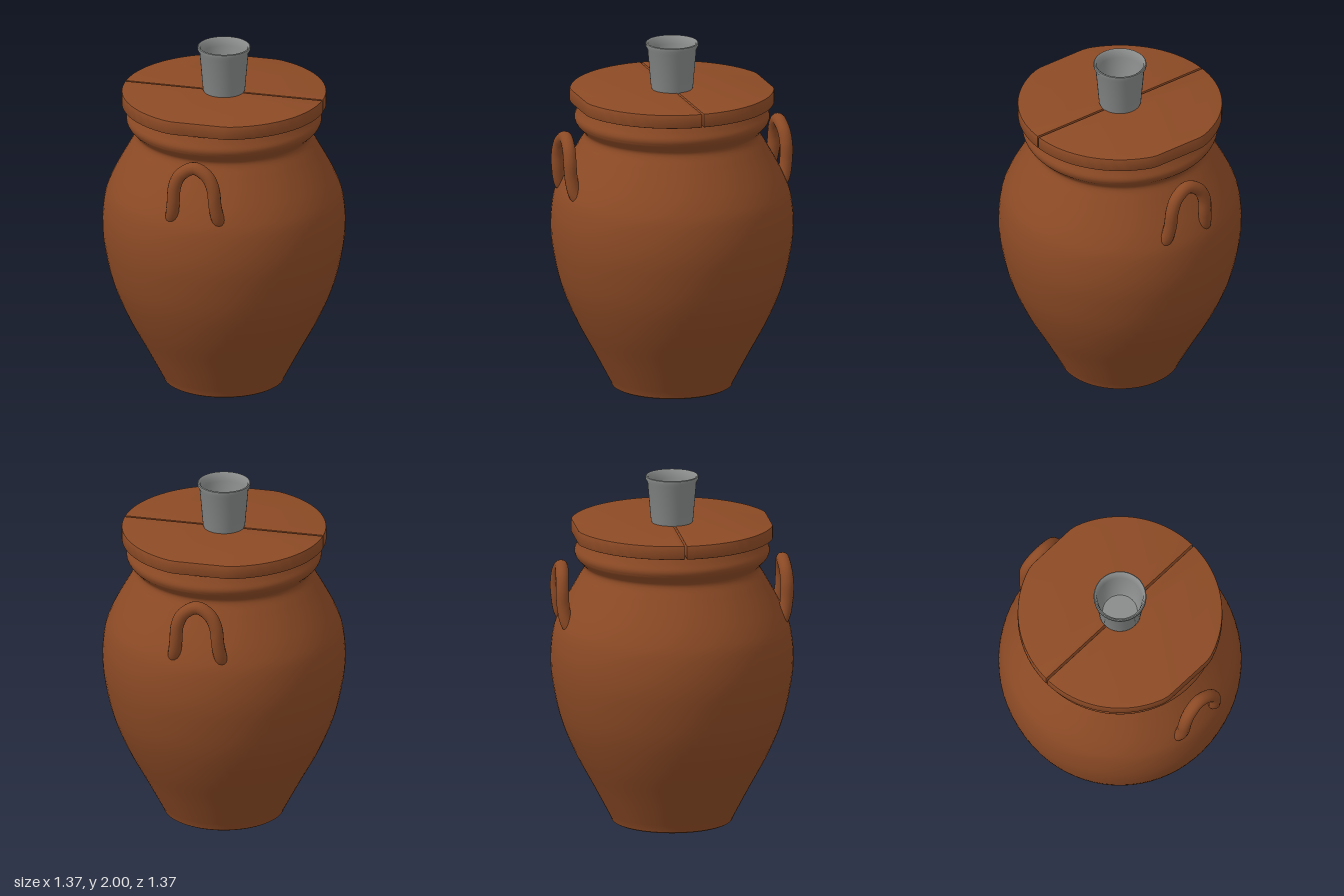
import * as THREE from 'three';
import { toCreasedNormals } from 'three/addons/utils/BufferGeometryUtils.js';

const points = (list) => list.map(([r, y]) => new THREE.Vector2(r, y));

export function createModel() {
  const clay = new THREE.MeshStandardMaterial({ color: 0x8c4a25 });
  clay.name = 'terracotta';
  const metal = new THREE.MeshStandardMaterial({ color: 0x8a8c8c });
  metal.name = 'grey metal';

  const model = new THREE.Group();
  model.name = 'lidded jar';
  const add = (parent, name, geometry, material) => {
    const mesh = new THREE.Mesh(geometry, material);
    mesh.name = name;
    parent.add(mesh);
    return mesh;
  };

  // Jar body: smooth belly, narrow neck and rolled rim
  const belly = new THREE.SplineCurve(points([
    [0.345, 0.02], [0.44, 0.2], [0.547, 0.4], [0.628, 0.6], [0.673, 0.8],
    [0.686, 0.95], [0.672, 1.1], [0.638, 1.2], [0.588, 1.3], [0.532, 1.4],
    [0.495, 1.47], [0.512, 1.505], [0.54, 1.535], [0.551, 1.57], [0.535, 1.61], [0.515, 1.66],
  ])).getPoints(64);
  const profile = [...points([[0, 0], [0.33, 0], [0.34, 0.006]]), ...belly, new THREE.Vector2(0, 1.66)];
  add(model, 'jar body', toCreasedNormals(new THREE.LatheGeometry(profile, 72), 0.6), clay);

  // Lid and handles share a frame whose x axis points at the back left handle
  const turned = new THREE.Group();
  turned.name = 'lid and handles';
  turned.rotation.y = THREE.MathUtils.degToRad(43);
  model.add(turned);

  // Half of the split lid, flattened beside its handle
  const half = new THREE.Shape();
  const gap = 0.005;
  const steps = 48;
  for (let i = 0; i <= steps; i++) {
    const a = -Math.PI / 2 + (Math.PI * i) / steps;
    const r = Math.min(0.577, 0.553 / Math.max(Math.cos(a), 0.01));
    const x = Math.max(gap, r * Math.cos(a));
    if (i === 0) half.moveTo(x, r * Math.sin(a));
    else half.lineTo(x, r * Math.sin(a));
  }
  half.closePath();
  const bevel = 0.006;
  const lidGeometry = toCreasedNormals(new THREE.ExtrudeGeometry(half, {
    depth: 0.08 - 2 * bevel, bevelEnabled: true, bevelSize: bevel,
    bevelThickness: bevel, bevelOffset: -bevel, bevelSegments: 2,
  }).rotateX(-Math.PI / 2).translate(0, 1.65 + bevel, 0), 0.5);

  // Arched handle whose feet sink into the shoulder
  const leg = [[0.57, 1.13, 0.15], [0.615, 1.19, 0.135], [0.635, 1.28, 0.122],
    [0.64, 1.38, 0.112], [0.636, 1.45, 0.078]];
  const path = new THREE.CatmullRomCurve3([
    ...leg.map(([x, y, z]) => new THREE.Vector3(x, y, -z)),
    new THREE.Vector3(0.63, 1.492, 0),
    ...leg.slice().reverse().map(([x, y, z]) => new THREE.Vector3(x, y, z)),
  ]);
  const handleGeometry = new THREE.TubeGeometry(path, 48, 0.037, 14);

  for (const [side, angle] of [['back left', 0], ['front right', Math.PI]]) {
    add(turned, side + ' lid half', lidGeometry, clay).rotation.y = angle;
    add(turned, side + ' handle', handleGeometry, clay).rotation.y = angle;
  }

  // Hollow tapered cup standing on the lid
  const cup = new THREE.LatheGeometry(points([
    [0, 1.725], [0.113, 1.725], [0.119, 1.74], [0.138, 1.96], [0.149, 1.98],
    [0.149, 1.996], [0.144, 2], [0.134, 1.992], [0.125, 1.95], [0.105, 1.755], [0.098, 1.745], [0, 1.745],
  ]), 40);
  add(model, 'cup', toCreasedNormals(cup, 0.7), metal);

  return model;
}
